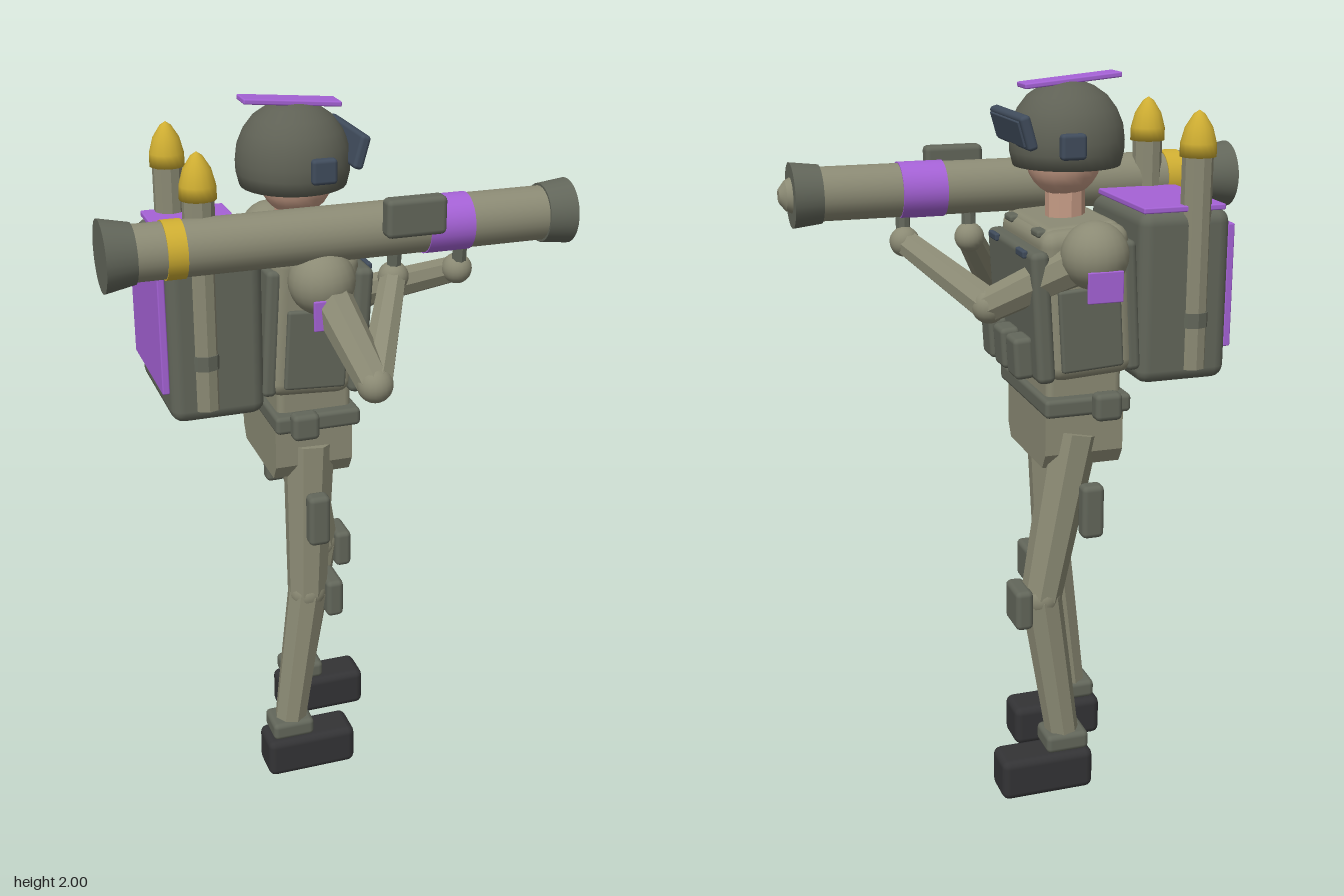
import * as THREE from 'three';
import { RoundedBoxGeometry } from 'three/addons/geometries/RoundedBoxGeometry.js';

const V = (x, y, z) => new THREE.Vector3(x, y, z);
const MID = -0.09; // the figure's own centre plane

export function createModel() {
  const root = new THREE.Group();
  const mat = (name, color) => {
    const m = new THREE.MeshStandardMaterial({ color });
    m.name = name;
    return m;
  };
  const cloth = mat('khaki', 0x8b8a74);
  const armour = mat('darkOlive', 0x62665a);
  const helmetMat = mat('helmetOlive', 0x5f6155);
  const rubber = mat('bootBlack', 0x333335);
  const purple = mat('purple', 0xa562d6);
  const yellow = mat('yellow', 0xcfae32);
  const skin = mat('skin', 0xc69c86);
  const glass = mat('visorSlate', 0x404c5c);

  const add = (name, geo, m, pos, parent = root) => {
    const mesh = new THREE.Mesh(geo, m);
    mesh.name = name;
    mesh.position.copy(pos);
    parent.add(mesh);
    return mesh;
  };
  const box = (name, size, m, pos, r = 0.012, parent = root) =>
    add(name, new RoundedBoxGeometry(...size, 2, r), m, pos, parent);
  const ball = (name, r, m, pos) => add(name, new THREE.SphereGeometry(r, 20, 14), m, pos);
  const facet = (geo) => {
    const g = geo.toNonIndexed();
    g.computeVertexNormals();
    return g;
  };
  // Faceted limb section between two joints
  const limb = (name, a, b, ra, rb, m = cloth, sides = 8) => {
    const dir = b.clone().sub(a);
    const geo = facet(new THREE.CylinderGeometry(rb, ra, dir.length(), sides));
    const mesh = add(name, geo, m, a.clone().add(b).multiplyScalar(0.5));
    mesh.quaternion.setFromUnitVectors(V(0, 1, 0), dir.normalize());
    return mesh;
  };

  // Legs, each with its own stride
  const legs = [
    { n: 'right', s: 1, hip: -0.085, knee: -0.1, ankle: -0.16, pad: -0.03, boot: -0.105 },
    { n: 'left', s: -1, hip: -0.07, knee: 0.025, ankle: -0.04, pad: 0.088, boot: 0.02 },
  ];
  for (const { n, s, hip, knee, ankle, pad, boot } of legs) {
    const z = (d) => MID + s * d;
    const h = V(hip, 1.07, z(0.115)), k = V(knee, 0.6, z(0.135)), a = V(ankle, 0.15, z(0.14));
    limb(n + 'Thigh', h, k, 0.073, 0.057);
    limb(n + 'Shin', k, a, 0.057, 0.047);
    ball(n + 'Knee', 0.056, cloth, k);
    box(n + 'KneePad', [0.05, 0.115, 0.112], armour, V(pad, 0.583, z(0.135)), 0.015);
    box(n + 'ThighPouch', [0.062, 0.15, 0.05], armour, V(-0.09, 0.87, z(0.213)), 0.015);
    box(n + 'BootCuff', [0.125, 0.055, 0.105], armour, V(ankle, 0.153, z(0.14)), 0.015);
    box(n + 'Boot', [0.27, 0.122, 0.118], rubber, V(boot, 0.061, z(0.14)), 0.022);
  }

  // Pelvis, waist and belt
  const pelvis = new THREE.Shape([
    [-0.165, 1.14], [-0.165, 1.02], [-0.14, 0.978], [0.14, 0.978], [0.165, 1.02], [0.165, 1.14],
  ].map(([x, y]) => new THREE.Vector2(x, y)));
  const pelvisMesh = add('pelvis', new THREE.ExtrudeGeometry(pelvis, { depth: 0.22, bevelEnabled: false }),
    cloth, V(-0.195, 0, MID));
  pelvisMesh.rotation.y = Math.PI / 2;
  box('waist', [0.21, 0.16, 0.34], cloth, V(-0.083, 1.2, MID), 0.02);
  box('belt', [0.24, 0.05, 0.41], armour, V(-0.083, 1.16, MID), 0.012);
  for (const s of [1, -1]) {
    box('beltPouch', [0.075, 0.075, 0.05], armour, V(-0.128, 1.163, MID + s * 0.218), 0.015);
  }

  // Torso and vest lean slightly forward
  const torso = new THREE.Group();
  torso.name = 'torso';
  torso.position.set(-0.08, 1.41, MID);
  torso.rotation.z = -0.06;
  root.add(torso);
  box('chest', [0.24, 0.4, 0.39], cloth, V(-0.01, 0.02, 0), 0.04, torso);
  box('shoulderYoke', [0.21, 0.06, 0.33], cloth, V(-0.01, 0.195, 0), 0.025, torso);
  box('vestFront', [0.05, 0.35, 0.4], armour, V(0.12, 0.0, 0), 0.018, torso);
  box('vestBack', [0.04, 0.35, 0.38], armour, V(-0.125, 0.0, 0), 0.015, torso);
  for (const s of [1, -1]) {
    box('vestSide', [0.17, 0.22, 0.02], armour, V(-0.005, -0.04, s * 0.198), 0.008, torso);
    box('vestStrap', [0.22, 0.02, 0.06], armour, V(0.0, 0.21, s * 0.115), 0.008, torso);
    box('strapBuckle', [0.015, 0.02, 0.065], glass, V(0.147, 0.165, s * 0.12), 0.005, torso);
  }
  for (const z of [-0.113, 0, 0.113]) {
    box('chestPouch', [0.055, 0.112, 0.085], armour, V(0.165, -0.11, z), 0.014, torso);
  }

  // Arms bent to hold the launcher
  const arms = [
    { n: 'right', s: 1, elbow: V(-0.015, 1.36, 0.36), hand: V(0.125, 1.55, 0.11) },
    { n: 'left', s: -1, elbow: V(0.15, 1.42, -0.16), hand: V(0.31, 1.55, 0.1) },
  ];
  for (const { n, s, elbow, hand } of arms) {
    const sh = V(-0.083, 1.57, MID + s * 0.23);
    ball(n + 'Shoulder', 0.088, cloth, sh);
    limb(n + 'UpperArm', sh, elbow, 0.058, 0.046);
    ball(n + 'Elbow', 0.047, cloth, elbow);
    limb(n + 'Forearm', elbow, hand, 0.046, 0.036);
    ball(n + 'Hand', 0.041, cloth, hand);
    limb(n + 'Grip', V(hand.x, 1.55, 0.11), V(hand.x, 1.64, 0.12), 0.02, 0.02, armour);
    box(n + 'ShoulderPatch', [0.095, 0.08, 0.009], purple, V(-0.083, 1.505, MID + s * 0.311), 0.003);
  }

  // Neck, head and helmet
  limb('neck', V(-0.083, 1.58, MID), V(-0.083, 1.74, MID), 0.053, 0.053, skin, 10);
  ball('head', 0.1, skin, V(-0.078, 1.785, MID));
  const helmet = new THREE.LatheGeometry(
    [[0.1, -0.067], [0.142, -0.067], [0.151, -0.03], [0.152, 0], [0.147, 0.04], [0.131, 0.077],
      [0.105, 0.111], [0.07, 0.135], [0.035, 0.148], [0, 0.152]].map(([x, y]) => new THREE.Vector2(x, y)), 28);
  add('helmet', helmet, helmetMat, V(-0.086, 1.835, MID));
  box('helmetStripe', [0.265, 0.014, 0.073], purple, V(-0.093, 1.985, MID), 0.004).rotation.z = -0.09;
  const visor = new THREE.Group();
  visor.name = 'visor';
  visor.position.set(0.06, 1.868, MID);
  visor.rotation.z = -0.28;
  root.add(visor);
  box('visorFrame', [0.028, 0.09, 0.275], glass, V(0, 0, 0), 0.01, visor);
  box('visorLens', [0.008, 0.068, 0.24], glass, V(0.015, 0, 0), 0.003, visor);
  for (const s of [1, -1]) {
    box('earPad', [0.068, 0.066, 0.03], glass, V(-0.05, 1.833, MID + s * 0.152), 0.01);
  }

  // Backpack with coloured panels and two side canisters
  box('backpack', [0.255, 0.46, 0.39], armour, V(-0.353, 1.43, MID), 0.035);
  box('backpackLid', [0.23, 0.016, 0.385], purple, V(-0.346, 1.667, MID), 0.004);
  box('backpackPanel', [0.02, 0.335, 0.34], purple, V(-0.49, 1.45, MID), 0.004);
  const tip = [[0, 0], [0.048, 0], [0.047, 0.035], [0.036, 0.075], [0.015, 0.108], [0, 0.118]]
    .map(([x, y]) => new THREE.Vector2(x, y));
  for (const s of [1, -1]) {
    const z = MID + s * 0.17;
    limb('canister', V(-0.385, 1.235, z), V(-0.385, 1.81, z), 0.041, 0.041, cloth, 10);
    limb('canisterBand', V(-0.385, 1.35, z), V(-0.385, 1.39, z), 0.044, 0.044, armour, 10);
    add('canisterTip', new THREE.LatheGeometry(tip, 16), yellow, V(-0.385, 1.798, z));
  }

  // Shoulder launcher lying along x
  const launcher = new THREE.Group();
  launcher.name = 'launcher';
  launcher.position.set(0, 1.687, 0.12);
  root.add(launcher);
  const ring = (name, x0, x1, r0, r1, m) => {
    const geo = new THREE.CylinderGeometry(r1, r0, x1 - x0, 28);
    add(name, geo, m, V((x0 + x1) / 2, 0, 0), launcher).rotation.z = -Math.PI / 2;
  };
  ring('launchTube', -0.57, 0.55, 0.072, 0.072, cloth);
  ring('rearFlare', -0.645, -0.565, 0.093, 0.077, armour);
  ring('muzzleRing', 0.533, 0.61, 0.078, 0.087, armour);
  ring('yellowBand', -0.49, -0.44, 0.0755, 0.0755, yellow);
  ring('purpleBand', 0.198, 0.32, 0.0755, 0.0755, purple);
  ring('warhead', 0.605, 0.625, 0.05, 0.04, cloth);
  ring('warheadNose', 0.625, 0.642, 0.04, 0.018, cloth);
  box('sight', [0.162, 0.1, 0.052], armour, V(0.143, 0.053, 0.088), 0.014, launcher);

  return root;
}
